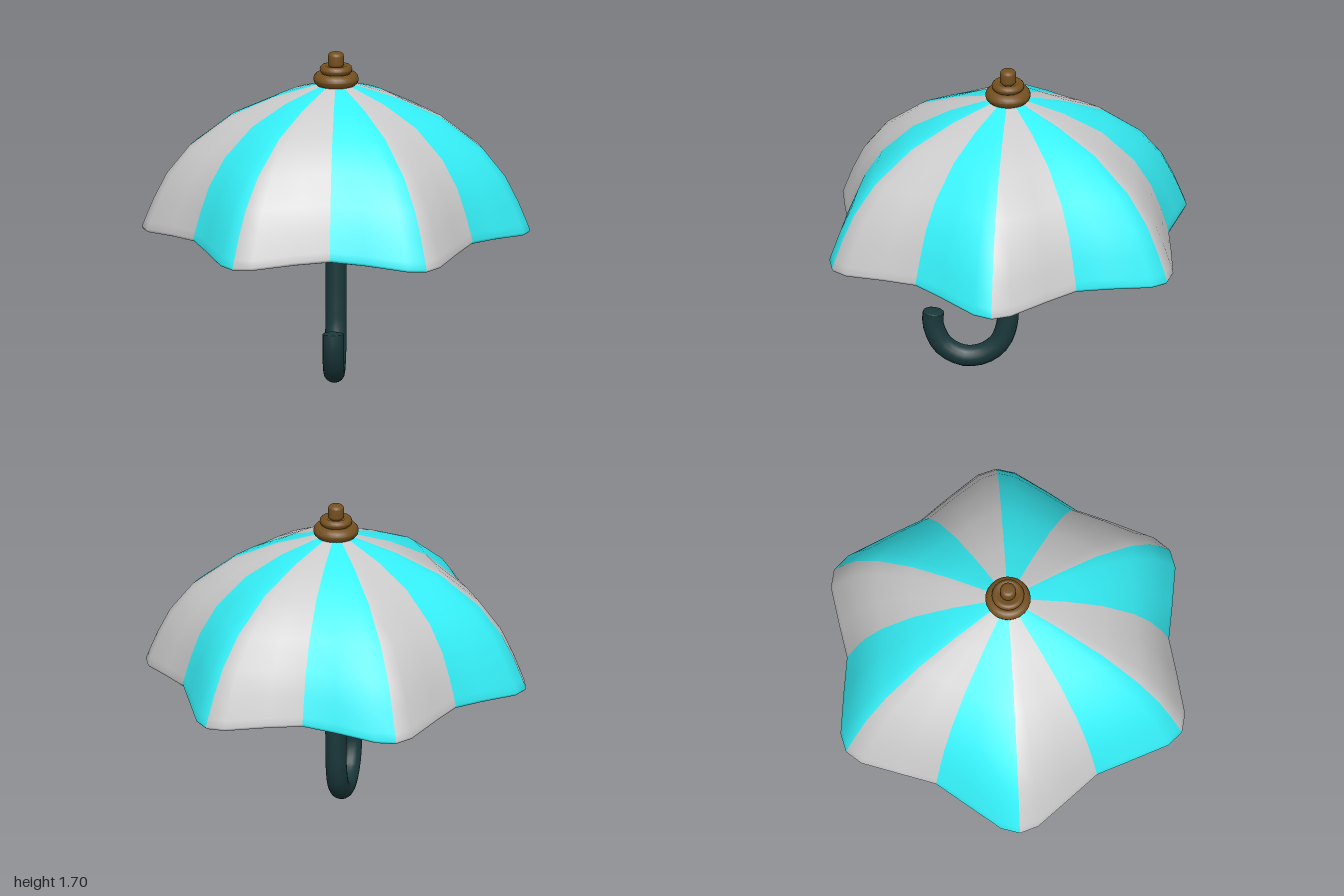
import * as THREE from 'three';

const mat = (color) => new THREE.MeshStandardMaterial({ color });

function addMesh(parent, name, geometry, material) {
  const mesh = new THREE.Mesh(geometry, material);
  mesh.name = name;
  parent.add(mesh);
  return mesh;
}

// Canopy section [radius, height]: down the outside, round the hem, up the inside
const SECTION = [
  [0.01, 1.545], [0.09, 1.53], [0.315, 1.46], [0.548, 1.357], [0.753, 1.2],
  [0.872, 1.05], [0.94, 0.915], [0.985, 0.805], [1.0, 0.767], [0.993, 0.754],
  [0.972, 0.752], [0.955, 0.762], [0.948, 0.79], [0.904, 0.9], [0.84, 1.03],
  [0.724, 1.175], [0.525, 1.328], [0.3, 1.43], [0.08, 1.5], [0.01, 1.512],
];

// Columns of one half scallop: [degrees from the rib tip, how far in the valley]
const HALF = [[0, 0], [5.7, 0.15], [18, 0.72], [30, 1]];

function canopyColumns() {
  const cols = [];
  for (let rib = 0; rib < 6; rib++) {
    HALF.slice(0, 3).forEach(([a, w]) => cols.push([rib * 60 + a, w]));
    HALF.slice(1).reverse().forEach(([a, w]) => cols.push([rib * 60 + 60 - a, w]));
  }
  return cols;
}

// Scalloped shell, split into alternating panels that share smooth normals
function buildCanopy() {
  const canopy = new THREE.Group();
  canopy.name = 'canopy';
  const cols = canopyColumns();
  const n = cols.length;
  const positions = [];
  for (const [r, y] of SECTION) {
    for (const [deg, w] of cols) {
      const a = THREE.MathUtils.degToRad(deg);
      const radius = r * (1 - 0.17 * w * r ** 0.75);
      positions.push(radius * Math.cos(a), y + 0.042 * w * r ** 4, radius * Math.sin(a));
    }
  }
  const all = [];
  const panels = [[], []];
  for (let row = 0; row < SECTION.length - 1; row++) {
    for (let c = 0; c < n; c++) {
      const a = row * n + c;
      const b = row * n + (c + 1) % n;
      const quad = [a, b, a + n, b, b + n, a + n];
      all.push(...quad);
      panels[Math.floor(c / 3) % 2].push(...quad);
    }
  }
  const shell = new THREE.BufferGeometry();
  shell.setAttribute('position', new THREE.Float32BufferAttribute(positions, 3));
  shell.setIndex(all);
  shell.computeVertexNormals();
  const looks = [['cyanPanels', 0x35f0f8], ['greyPanels', 0xcccccc]];
  looks.forEach(([name, color], i) => {
    const geometry = shell.clone();
    geometry.setIndex(panels[i]);
    addMesh(canopy, name, geometry, mat(color));
  });
  return canopy;
}

// Shaft centre line [z, y], from the finial down and round the hooked grip
const SHAFT = [
  [-0.02, 1.54], [-0.012, 0.8], [-0.003, 0.36], [0.008, 0.235], [0.045, 0.14], [0.12, 0.077],
  [0.21, 0.057], [0.275, 0.074], [0.337, 0.118], [0.374, 0.185], [0.389, 0.25], [0.385, 0.3],
];

function buildHandle() {
  const handle = new THREE.Group();
  handle.name = 'handle';
  const material = mat(0x1a383b);
  const radius = 0.055;
  const path = new THREE.CatmullRomCurve3(SHAFT.map(([z, y]) => new THREE.Vector3(0, y, z)));
  addMesh(handle, 'shaftAndHook', new THREE.TubeGeometry(path, 48, radius, 16), material);

  // Shallow domed end
  const dome = new THREE.SphereGeometry(radius, 16, 5, 0, Math.PI * 2, 0, Math.PI / 2);
  const end = addMesh(handle, 'hookEnd', dome, material);
  end.scale.y = 0.2;
  end.position.copy(path.getPoint(1));
  end.quaternion.setFromUnitVectors(new THREE.Vector3(0, 1, 0), path.getTangent(1));
  return handle;
}

// Stepped, rounded rings with a short peg on top
function buildFinial() {
  const points = [[0, 1.527]];
  const steps = [[0.117, 1.525, 1.594, 0.033], [0.084, 1.588, 1.634, 0.022], [0.041, 1.62, 1.7, 0.02]];
  for (const [radius, low, high, round] of steps) {
    const corner = (y, from) => {
      for (let i = 0; i <= 3; i++) {
        const a = from + (i / 3) * Math.PI / 2;
        points.push([radius - round + round * Math.cos(a), y + round * Math.sin(a)]);
      }
    };
    corner(low + round, -Math.PI / 2);
    corner(high - round, 0);
  }
  points.push([0, 1.7]);
  const profile = points.map(([x, y]) => new THREE.Vector2(x, y));
  return new THREE.LatheGeometry(profile, 24);
}

export function createModel() {
  const model = new THREE.Group();
  model.name = 'umbrella';
  model.add(buildCanopy(), buildHandle());
  addMesh(model, 'finial', buildFinial(), mat(0x74501f));
  return model;
}
